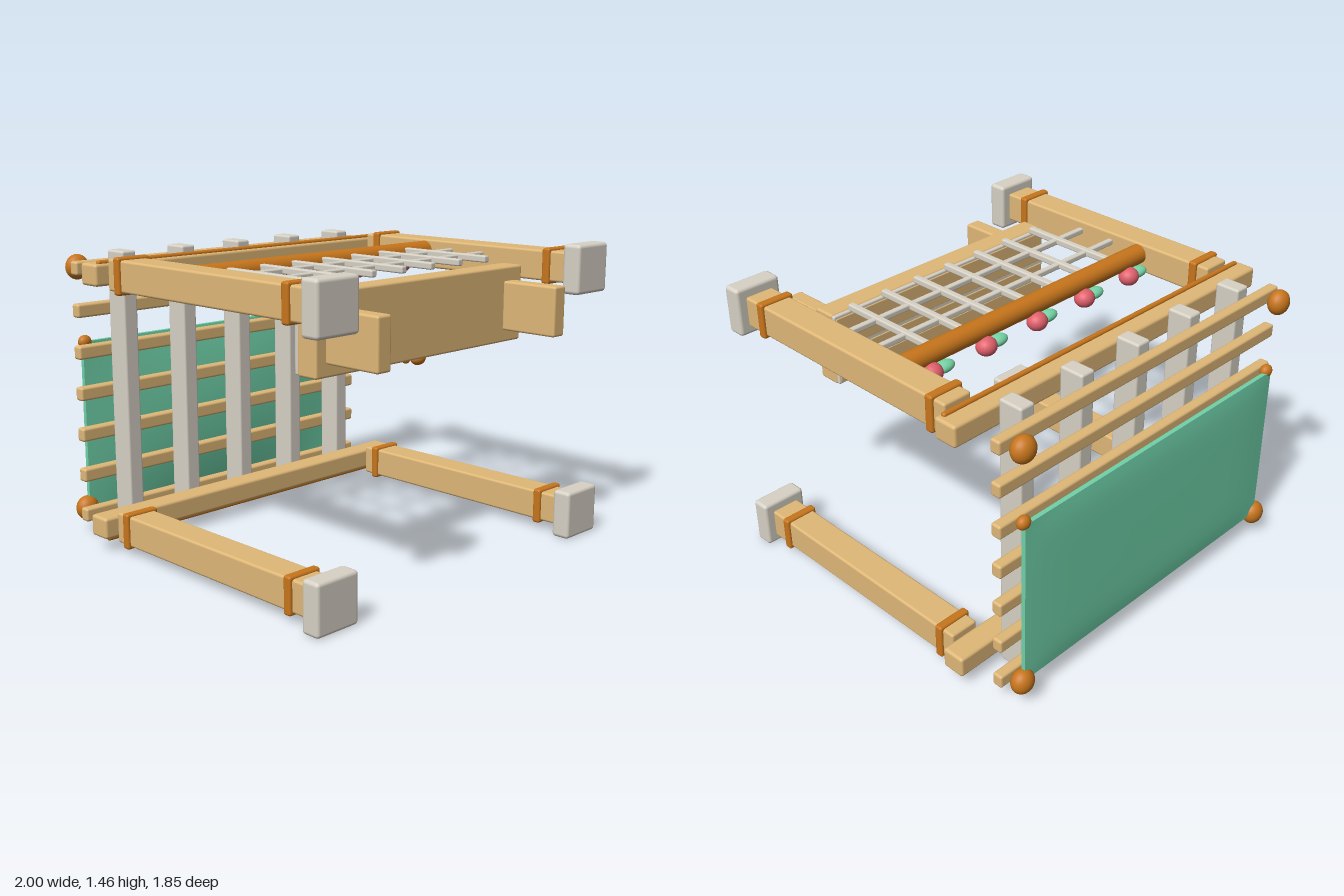
import * as THREE from 'three';
import { RoundedBoxGeometry } from 'three/addons/geometries/RoundedBoxGeometry.js';

const mat = (color) => new THREE.MeshStandardMaterial({ color });
const WOOD = mat(0xe0b878), CREAM = mat(0xd8d2c6), ORANGE = mat(0xc8761c);
const GREEN = mat(0x70d2aa), LEAF = mat(0x78d8a8), RED = mat(0xe0606c);

export function createModel() {
  const root = new THREE.Group();

  const add = (name, geo, material, x, y, z) => {
    const m = new THREE.Mesh(geo, material);
    m.name = name;
    m.position.set(x, y, z);
    root.add(m);
    return m;
  };
  // soft-edged box given by centre and size
  const box = (name, material, [x, y, z], [w, h, d], r = 0.012) =>
    add(name, new RoundedBoxGeometry(w, h, d, 2, Math.min(r, w / 2.1, h / 2.1, d / 2.1)), material, x, y, z);
  // stretched sphere given by centre and radii
  const ball = (name, material, [x, y, z], [a, b, c]) =>
    add(name, new THREE.SphereGeometry(1, 20, 14), material, x, y, z).scale.set(a, b, c);

  const levels = [0.123, 1.345];

  for (const y of levels) {
    const out = y < 0.7 ? -1 : 1;
    for (const s of [-1, 1]) {
      const x = s * 0.861;
      // posts with bands and block feet
      box('post', WOOD, [x, y, 0.16], [0.15, 0.15, 1.34]);
      box('foot', CREAM, [x, y, 0.877], [0.24, 0.24, 0.096], 0.018);
      for (const z of [0.707, -0.427])
        box('postBand', ORANGE, [x, y, z], [0.18, 0.176, 0.043]);
      // large knobs at the outer corners
      ball('cornerKnob', ORANGE, [x, y, -0.875], [0.06, 0.062, 0.05]);
    }
    // cross beam and its trim strip
    box('crossBeam', WOOD, [0, y, -0.575], [2, 0.105, 0.12], 0.015);
    box('beamTrim', ORANGE, [0, y + out * 0.053, -0.54], [1.95, 0.028, 0.026]);
  }

  // rafters
  for (let i = -2; i <= 2; i++)
    box('rafter', CREAM, [i * 0.36, 0.735, -0.702], [0.082, 1.39, 0.126]);

  // slats across the rafters
  for (let i = 0; i < 7; i++)
    box('slat', WOOD, [0, 0.12 + i * 0.205, -0.792], [1.876, 0.067, 0.054]);

  // canopy cloth, sagging inside and pillowed outside
  const cloth = new THREE.BoxGeometry(1.71, 0.85, 0.022, 28, 20, 1);
  const p = cloth.attributes.position;
  for (let i = 0; i < p.count; i++) {
    const u = p.getX(i) / 0.855, v = p.getY(i) / 0.425, z = p.getZ(i);
    const sag = (1 - u * u) * (1 - v * v);
    const puff = (1 - u ** 6) * (1 - v ** 6);
    p.setZ(i, z > 0 ? z + 0.044 * sag : z - 0.012 * puff);
  }
  cloth.computeVertexNormals();
  add('canopyCloth', cloth, GREEN, 0, 0.55, -0.872);
  for (const s of [-1, 1])
    ball('clothKnob', ORANGE, [s * 0.845, 0.975, -0.862], [0.035, 0.033, 0.028]);

  // hanging rail
  const rail = add('rail', new THREE.CylinderGeometry(0.05, 0.05, 1.58, 20), ORANGE, 0, 1.362, -0.083);
  rail.rotation.z = Math.PI / 2;

  // lattice between rail and counter
  for (let i = -3; i <= 3; i++)
    box('latticeBar', CREAM, [i * 0.2, 1.375, 0.22], [0.034, 0.034, 0.53], 0.008);
  for (const z of [0.1, 0.3])
    box('latticeCrossBar', CREAM, [0, 1.37, z], [1.58, 0.03, 0.03], 0.008);

  // flowers with leaves along the rail
  for (let i = -2; i <= 2; i++) {
    ball('flower', RED, [i * 0.33, 1.297, -0.132], [0.052, 0.046, 0.05]);
    ball('leaf', LEAF, [i * 0.33 - 0.075, 1.293, -0.122], [0.062, 0.028, 0.038]);
  }

  // counter with lined, planked back
  box('counter', WOOD, [0, 1.169, 0.567], [1.396, 0.368, 0.116]);
  box('counterLining', CREAM, [0, 1.169, 0.502], [1.39, 0.36, 0.022], 0.008);
  for (let i = 0; i < 4; i++)
    box('counterPlank', WOOD, [0, 1.035 + i * 0.088, 0.492], [1.37, 0.07, 0.012], 0.004);

  for (const s of [-1, 1])
    box('counterBracket', WOOD, [s * 0.6, 1.165, 0.772], [0.084, 0.24, 0.306]);

  // ornament on the counter edge
  ball('ornament', ORANGE, [0, 0.976, 0.575], [0.042, 0.03, 0.03]);
  for (const s of [-1, 1]) {
    ball('ornamentBead', ORANGE, [s * 0.045, 0.972, 0.54], [0.02, 0.019, 0.02]);
    ball('ornamentBead', ORANGE, [s * 0.02, 0.972, 0.51], [0.018, 0.017, 0.018]);
  }

  return root;
}
